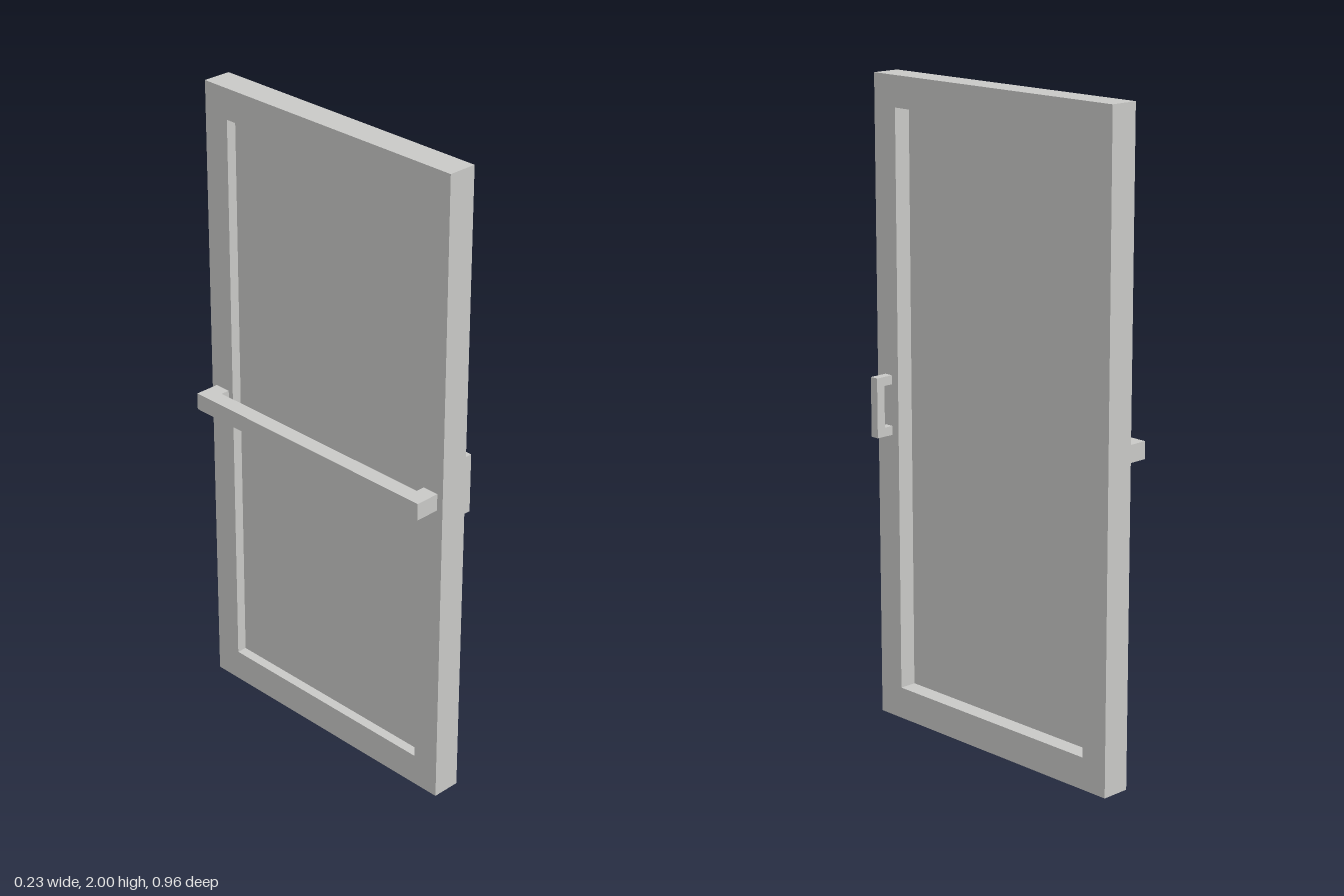
import * as THREE from 'three';

// Closed outline from corner points
function outline(points) {
  return new THREE.Shape(points.map(([a, b]) => new THREE.Vector2(a, b)));
}

function rectangle(a0, b0, a1, b1) {
  return [[a0, b0], [a1, b0], [a1, b1], [a0, b1]];
}

function extrude(shape, depth) {
  return new THREE.ExtrudeGeometry(shape, { depth, bevelEnabled: false });
}

// C-shaped outline: two arms at b0 and b1 joined by a grip
function bracket(root, inner, outer, b0, b1, arm) {
  return outline([
    [root, b0], [outer, b0], [outer, b1], [root, b1],
    [root, b1 - arm], [inner, b1 - arm], [inner, b0 + arm], [root, b0 + arm],
  ]);
}

export function createModel() {
  const group = new THREE.Group();
  group.name = 'door';
  const grey = new THREE.MeshStandardMaterial({ color: 0xc8c8c6 });
  grey.name = 'light grey';

  function add(name, geometry) {
    const mesh = new THREE.Mesh(geometry, grey);
    mesh.name = name;
    group.add(mesh);
    return mesh;
  }

  // Frame with a rectangular opening, standing across x
  const frameShape = outline(rectangle(-0.48, 0, 0.48, 2));
  frameShape.holes.push(new THREE.Path(
    rectangle(-0.39, 0.1, 0.39, 1.905).map(([a, b]) => new THREE.Vector2(a, b))));
  const frame = extrude(frameShape, 0.091);
  frame.rotateY(Math.PI / 2).translate(-0.036, 0, 0);
  add('frame', frame);

  // Thin panel filling the opening, set deeper on the handle side
  add('panel', new THREE.BoxGeometry(0.005, 1.805, 0.78)).position.set(-0.002, 1.0025, 0);

  // Upright pull handle
  const handle = extrude(bracket(0.055, 0.085, 0.114, 0.909, 1.095, 0.028), 0.028);
  handle.translate(0, 0, 0.418);
  add('pullHandle', handle);

  // Horizontal push bar across the other side
  const bar = extrude(bracket(-0.036, -0.064, -0.115, -0.461, 0.459, 0.053), 0.053);
  bar.rotateX(Math.PI / 2).translate(0, 1.031, 0);
  add('pushBar', bar);

  return group;
}
